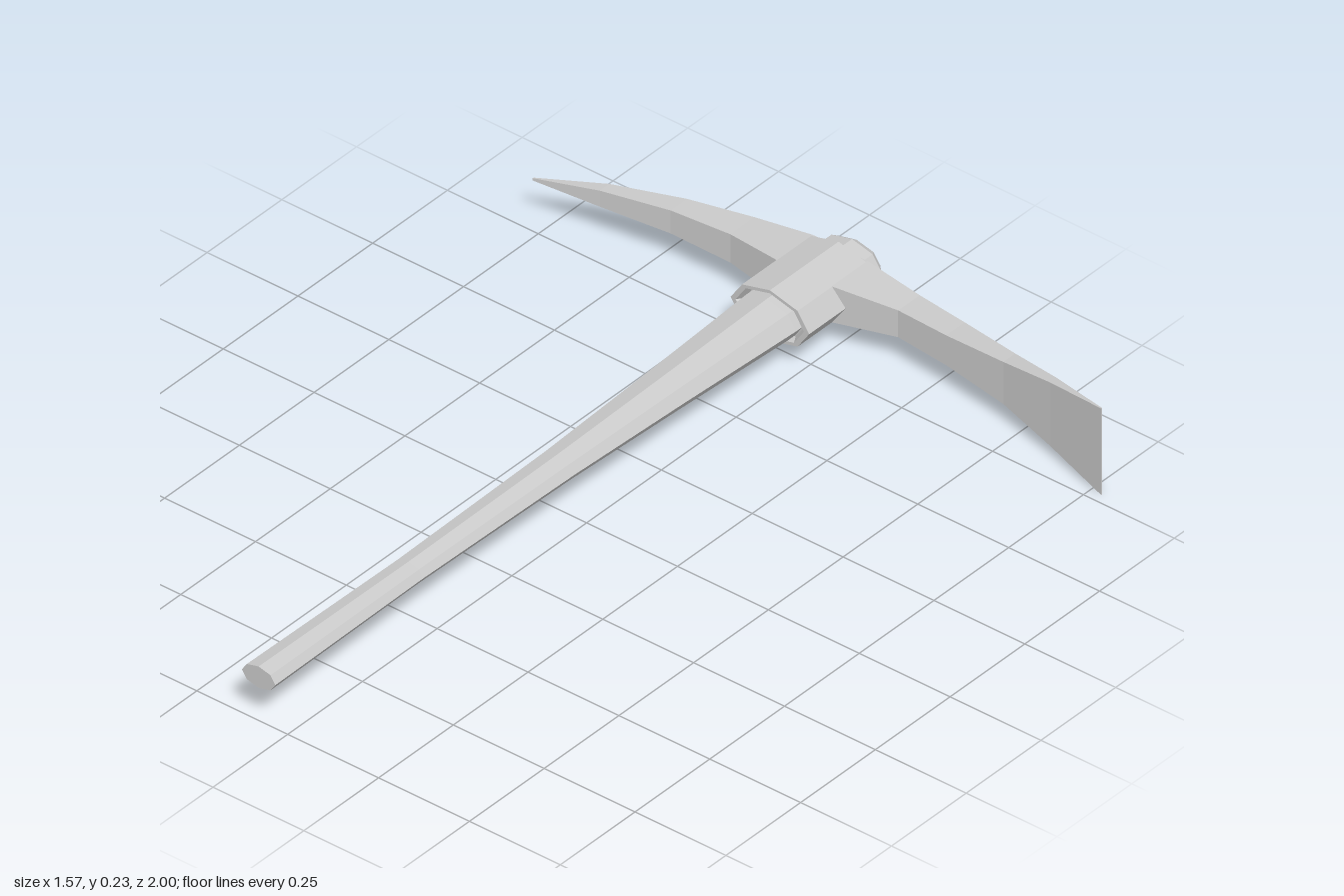
import * as THREE from 'three';

const CX = -0.08, CY = 0.115; // axis of the handle
const material = new THREE.MeshStandardMaterial({ color: 0xcccccc, flatShading: true });

// Skin a row of equal-sized rings (counterclockwise about the travel direction) and cap both ends
function loft(name, rings) {
  const n = rings[0].length, pos = [], idx = [];
  rings.forEach(r => r.forEach(p => pos.push(...p)));
  for (let k = 0; k < rings.length - 1; k++) {
    for (let i = 0; i < n; i++) {
      const a = k * n + i, b = k * n + (i + 1) % n;
      idx.push(a, b, b + n, a, b + n, a + n);
    }
  }
  const last = (rings.length - 1) * n;
  for (let i = 1; i < n - 1; i++) {
    idx.push(0, i + 1, i, last, last + i, last + i + 1);
  }
  const indexed = new THREE.BufferGeometry();
  indexed.setAttribute('position', new THREE.Float32BufferAttribute(pos, 3));
  indexed.setIndex(idx);
  const geometry = indexed.toNonIndexed();
  geometry.computeVertexNormals();
  const mesh = new THREE.Mesh(geometry, material);
  mesh.name = name;
  return mesh;
}

// Flattened octagon across the handle axis
function octagon([z, rx, ry]) {
  return Array.from({ length: 8 }, (_, i) => {
    const t = i * Math.PI / 4;
    return [CX + rx * Math.cos(t), CY + ry * Math.sin(t), z];
  });
}

// Rectangle across an arm: x, rear z, front z, half height
function rectangle([x, rear, front, h]) {
  return [[x, CY - h, rear], [x, CY + h, rear], [x, CY + h, front], [x, CY - h, front]];
}

export function createModel() {
  const model = new THREE.Group();
  model.name = 'pickaxe';

  // Wooden handle, swelling towards the head
  model.add(loft('handle', [
    [-1, 0.066, 0.038], [-0.985, 0.08, 0.048], [-0.7, 0.08, 0.049], [-0.35, 0.063, 0.039],
    [0, 0.049, 0.03], [0.5, 0.041, 0.025], [1, 0.046, 0.028],
  ].map(octagon)));

  const head = new THREE.Group();
  head.name = 'head';
  model.add(head);

  // Eye around the handle, with a recessed mouth
  head.add(loft('eye', [
    [-0.94, 0.108, 0.066], [-0.71, 0.108, 0.066], [-0.71, 0.094, 0.058], [-0.725, 0.083, 0.051],
  ].map(octagon)));

  // Pointed arm, from tip to root
  head.add(loft('pick', [
    [-0.785, -0.777, -0.774, 0.003], [-0.63, -0.842, -0.81, 0.021], [-0.46, -0.895, -0.84, 0.03],
    [-0.3, -0.927, -0.846, 0.037], [-0.155, -0.945, -0.825, 0.047], [CX, -0.945, -0.825, 0.047],
  ].map(rectangle)));

  // Flared arm, from root to cutting edge
  head.add(loft('blade', [
    [CX, -0.945, -0.825, 0.047], [-0.005, -0.945, -0.825, 0.047], [0.15, -0.932, -0.86, 0.035],
    [0.29, -0.912, -0.85, 0.039], [0.46, -0.875, -0.835, 0.055], [0.61, -0.832, -0.81, 0.083],
    [0.78, -0.776, -0.773, 0.113],
  ].map(rectangle)));

  return model;
}
